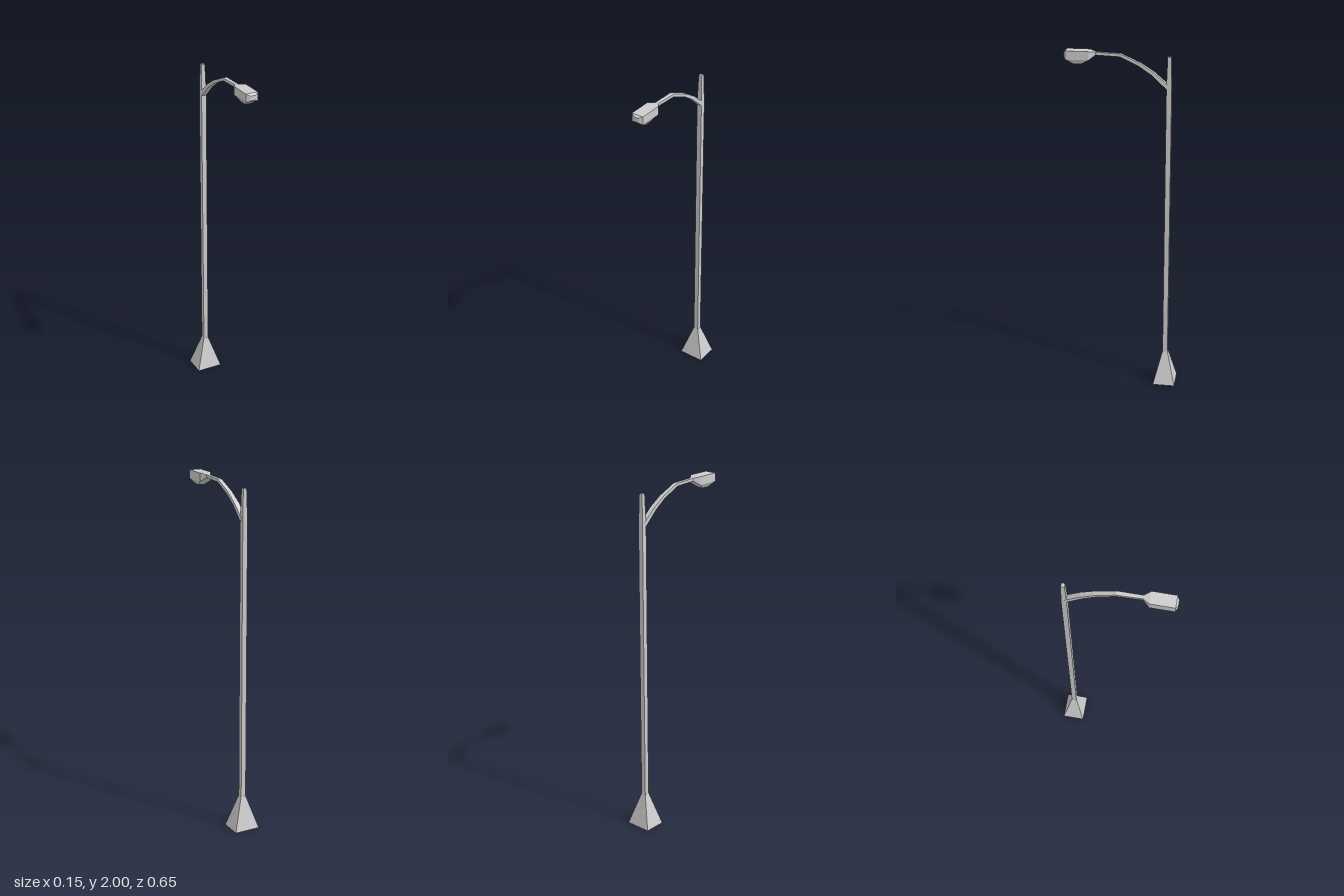
import * as THREE from 'three';

// Lofts four-cornered rings (counter-clockwise seen from the far end) into a closed faceted solid
function loft(name, rings) {
  const pos = [];
  const quad = (a, b, c, d) => { for (const p of [a, b, c, a, c, d]) pos.push(...p); };
  for (let i = 0; i < rings.length - 1; i++) {
    const a = rings[i], b = rings[i + 1];
    for (let k = 0; k < 4; k++) {
      const n = (k + 1) % 4;
      quad(a[k], a[n], b[n], b[k]);
    }
  }
  const s = rings[0], e = rings[rings.length - 1];
  quad(s[3], s[2], s[1], s[0]);
  quad(e[0], e[1], e[2], e[3]);
  const geometry = new THREE.BufferGeometry();
  geometry.setAttribute('position', new THREE.Float32BufferAttribute(pos, 3));
  geometry.computeVertexNormals();
  const mesh = new THREE.Mesh(geometry, new THREE.MeshStandardMaterial({ color: 0xcccccc, flatShading: true }));
  mesh.name = name;
  return mesh;
}

// Horizontal rectangle at height y
const level = (y, hx, z0, z1) => [[hx, y, z1], [hx, y, z0], [-hx, y, z0], [-hx, y, z1]];
// Upright rectangle at depth z
const upright = (z, hx, y0, y1) => [[hx, y1, z], [-hx, y1, z], [-hx, y0, z], [hx, y0, z]];

export function createModel() {
  const group = new THREE.Group();
  group.name = 'streetLamp';
  const poleZ = -0.26;
  const square = (y, hx, hz = hx) => level(y, hx, poleZ - hz, poleZ + hz);

  // Flared foot, and the square pole tapering above the arm joint
  group.add(loft('base', [square(0, 0.076, 0.064), square(0.195, 0.015)]));
  group.add(loft('pole', [square(0.19, 0.0145), square(1.81, 0.0145), square(1.98, 0.01)]));

  // Curved arm: [z, y, half width, half thickness], sections square to the path
  const path = [
    [-0.256, 1.807, 0.015, 0.012],
    [-0.17, 1.884, 0.014, 0.010],
    [-0.10, 1.93, 0.013, 0.009],
    [0.01, 1.980, 0.012, 0.008],
    [0.15, 1.985, 0.010, 0.008],
  ];
  const armRings = path.map(([z, y, w, t], i) => {
    const p = path[Math.max(i - 1, 0)], q = path[Math.min(i + 1, path.length - 1)];
    const len = Math.hypot(q[0] - p[0], q[1] - p[1]);
    const ny = (q[0] - p[0]) / len * t, nz = -(q[1] - p[1]) / len * t;
    return [[w, y + ny, z + nz], [-w, y + ny, z + nz], [-w, y - ny, z - nz], [w, y - ny, z - nz]];
  });
  group.add(loft('arm', armRings));

  // Lamp housing with a narrow neck and bevelled nose
  group.add(loft('lampHousing', [
    upright(0.145, 0.011, 1.977, 1.993),
    upright(0.18, 0.035, 1.952, 2),
    upright(0.31, 0.035, 1.952, 2),
    upright(0.322, 0.014, 1.963, 1.99),
  ]));

  // Lens tapering down under the housing
  group.add(loft('lens', [level(1.925, 0.016, 0.225, 0.267), level(1.953, 0.035, 0.18, 0.31)]));

  return group;
}
